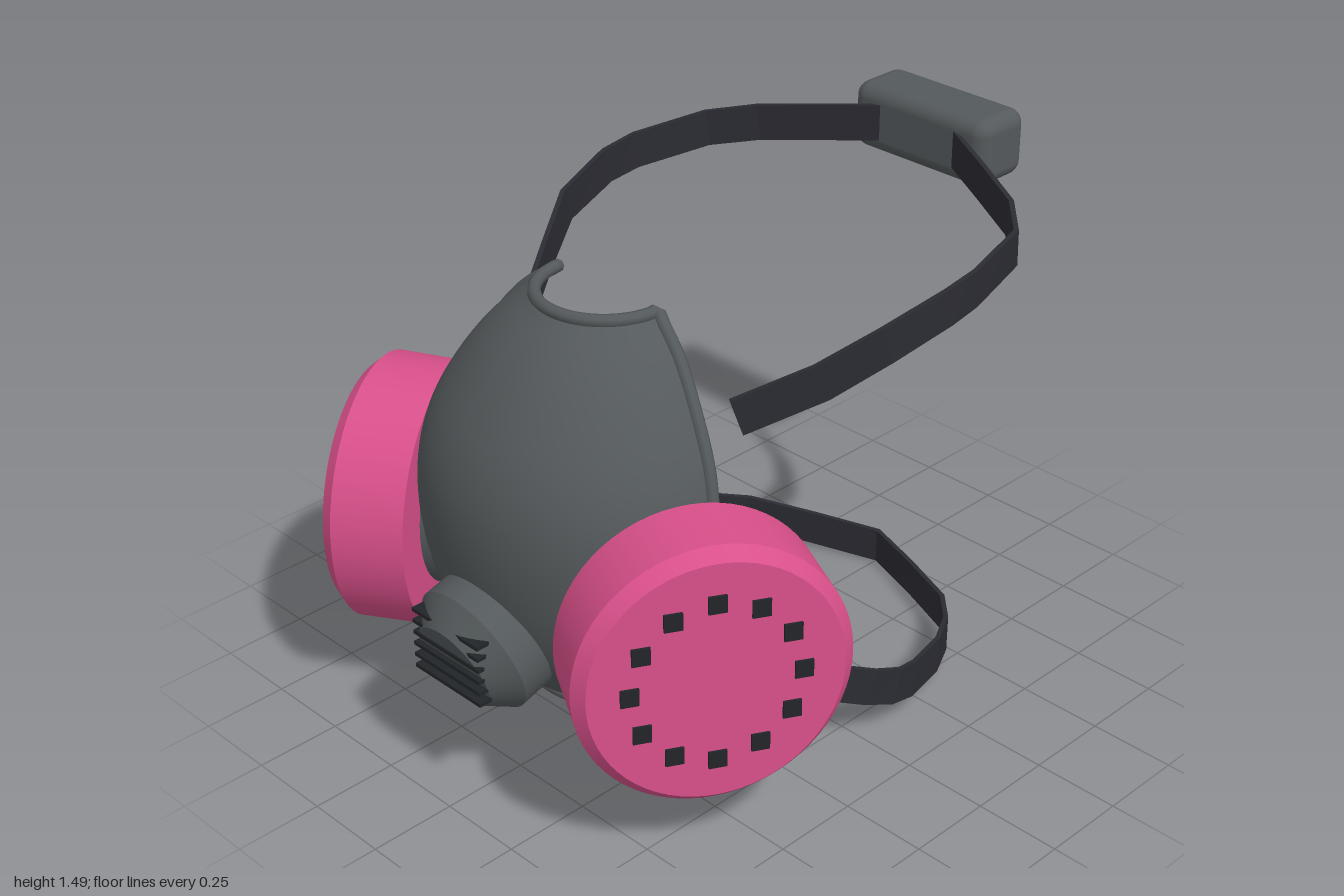
import * as THREE from 'three';
import { toCreasedNormals } from 'three/addons/utils/BufferGeometryUtils.js';
import { RoundedBoxGeometry } from 'three/addons/geometries/RoundedBoxGeometry.js';

const V = (x, y, z) => new THREE.Vector3(x, y, z);

function material(name, color, side = THREE.FrontSide) {
  const m = new THREE.MeshStandardMaterial({ color, side });
  m.name = name;
  return m;
}

function add(parent, name, geometry, mat) {
  const mesh = new THREE.Mesh(geometry, mat);
  mesh.name = name;
  parent.add(mesh);
  return mesh;
}

// Turned part whose axis points along +z
function turned(points, segments = 64) {
  const g = new THREE.LatheGeometry(points.map(p => new THREE.Vector2(...p)), segments);
  return toCreasedNormals(g.rotateX(Math.PI / 2), 0.5);
}

// Flat band with a rectangular section following a polyline
function ribbon(path, width, thickness) {
  const pos = [], idx = [];
  path.forEach((p, i) => {
    const a = path[Math.max(i - 1, 0)], b = path[Math.min(i + 1, path.length - 1)];
    const t = b.clone().sub(a).normalize();
    const side = t.clone().cross(V(0, 1, 0)).normalize();
    const up = side.clone().cross(t);
    for (const [s, u] of [[-1, -1], [1, -1], [1, 1], [-1, 1]]) {
      const q = p.clone().addScaledVector(side, s * thickness / 2).addScaledVector(up, u * width / 2);
      pos.push(q.x, q.y, q.z);
    }
    if (i === 0) return;
    for (let k = 0; k < 4; k++) {
      const n = (k + 1) % 4, c = i * 4, d = c - 4;
      idx.push(d + k, d + n, c + n, d + k, c + n, c + k);
    }
  });
  const e = (path.length - 1) * 4;
  idx.push(0, 2, 1, 0, 3, 2, e, e + 1, e + 2, e, e + 2, e + 3);
  const g = new THREE.BufferGeometry();
  g.setAttribute('position', new THREE.Float32BufferAttribute(pos, 3));
  g.setIndex(idx);
  return toCreasedNormals(g, 0.2);
}

export function createModel() {
  const model = new THREE.Group();
  model.name = 'respirator';
  const grey = material('rubber grey', 0x54595b);
  const shellGrey = material('shell grey', 0x54595b, THREE.DoubleSide);
  const pink = material('filter pink', 0xd9508a);
  const dark = material('strap black', 0x2b2b33, THREE.DoubleSide);
  const black = material('vent black', 0x222528);

  // Face piece: half-elliptic sections given as y, half width, back z, front z
  const rows = [
    [0.21, 0.245, 0.41, 0.63], [0.3, 0.32, 0.44, 0.735], [0.45, 0.42, 0.475, 0.83],
    [0.65, 0.48, 0.49, 0.88], [0.85, 0.48, 0.485, 0.885], [1.0, 0.445, 0.465, 0.845],
    [1.15, 0.365, 0.44, 0.755], [1.25, 0.285, 0.415, 0.67], [1.33, 0.185, 0.39, 0.575],
  ];
  const widths = new THREE.CatmullRomCurve3(rows.map(r => V(r[1], r[0], r[2])));
  const fronts = new THREE.CatmullRomCurve3(rows.map(r => V(0, r[0], r[3])));
  const shellPoint = (u, v) => {
    const w = widths.getPoint(v), f = fronts.getPoint(v);
    const a = (u - 0.5) * Math.PI;
    return V(w.x * Math.sin(a), w.y, w.z + (f.z - w.z) * Math.cos(a));
  };
  const N = 40;
  const shell = new THREE.PlaneGeometry(1, 1, N, N);
  const sp = shell.attributes.position;
  for (let i = 0; i < sp.count; i++) {
    const p = shellPoint(sp.getX(i) + 0.5, sp.getY(i) + 0.5);
    sp.setXYZ(i, p.x, p.y, p.z);
  }
  shell.computeVertexNormals();
  add(model, 'facePiece', shell, shellGrey);

  // Rolled rim around the open edge
  const edge = [];
  const R = 24;
  for (let i = 0; i < R; i++) edge.push(shellPoint(i / R, 0));
  for (let i = 0; i < R; i++) edge.push(shellPoint(1, i / R));
  for (let i = 0; i < R; i++) edge.push(shellPoint(1 - i / R, 1));
  for (let i = 0; i < R; i++) edge.push(shellPoint(0, 1 - i / R));
  add(model, 'rim', new THREE.TubeGeometry(
    new THREE.CatmullRomCurve3(edge, true), 240, 0.018, 8, true), grey);

  // Side filters with their connectors and ring of vents
  const canister = turned([[0, 0], [0.372, 0], [0.378, 0.205], [0.346, 0.24], [0, 0.24]]);
  const connector = turned([[0, -0.085], [0.25, -0.085], [0.25, 0.01]], 48);
  const vent = new THREE.BoxGeometry(0.05, 0.05, 0.014);
  for (const s of [1, -1]) {
    const filter = new THREE.Group();
    filter.name = s > 0 ? 'leftFilter' : 'rightFilter';
    filter.position.set(s * 0.47, 0.588, 0.557);
    filter.rotation.y = s * (Math.PI / 2 - 0.5);
    filter.scale.x = 0.965;
    add(filter, 'canister', canister, pink);
    add(filter, 'connector', connector, grey);
    for (let i = 0; i < 12; i++) {
      const a = i * Math.PI / 6;
      add(filter, 'vent', vent, black).position.set(0.232 * Math.cos(a), 0.232 * Math.sin(a), 0.24);
    }
    model.add(filter);
  }

  // Exhale valve tilted downwards, with level grille bars
  const valve = add(model, 'exhaleValve',
    turned([[0, -0.25], [0.192, -0.25], [0.192, -0.07], [0.13, 0], [0, 0]], 48), grey);
  valve.position.set(0, 0.435, 0.955);
  valve.rotation.x = 0.3;
  for (let i = 0; i < 6; i++) {
    add(model, 'grilleBar', new THREE.BoxGeometry(0.26, 0.011, 0.04), black)
      .position.set(0, 0.39 + i * 0.035, 0.96);
  }

  // Head strap: two halves meeting at the rear pad
  const upper = [
    [0.13, 1.39, -0.815], [0.3, 1.365, -0.735], [0.47, 1.34, -0.65], [0.577, 1.322, -0.545],
    [0.635, 1.305, -0.31], [0.638, 1.29, -0.2], [0.602, 1.24, -0.01], [0.52, 1.16, 0.14],
    [0.4, 1.085, 0.325],
  ];
  for (const s of [1, -1]) {
    add(model, s > 0 ? 'leftHeadStrap' : 'rightHeadStrap',
      ribbon(upper.map(p => V(s * p[0], p[1], p[2])), 0.108, 0.014), dark);
  }
  add(model, 'rearPad', new RoundedBoxGeometry(0.49, 0.2, 0.195, 5, 0.045), grey)
    .position.set(0, 1.39, -0.902);

  // Neck strap: one continuous loop behind the neck
  const lower = [
    [0.2, 0.066, -0.635], [0.395, 0.078, -0.548], [0.485, 0.09, -0.455], [0.55, 0.105, -0.34],
    [0.605, 0.135, -0.17], [0.614, 0.155, -0.09], [0.6, 0.19, 0], [0.54, 0.26, 0.16],
    [0.455, 0.345, 0.36],
  ];
  const neck = [
    ...lower.map(p => V(-p[0], p[1], p[2])).reverse(),
    V(0, 0.058, -0.71),
    ...lower.map(p => V(...p)),
  ];
  add(model, 'neckStrap', ribbon(neck, 0.108, 0.014), dark);

  return model;
}
